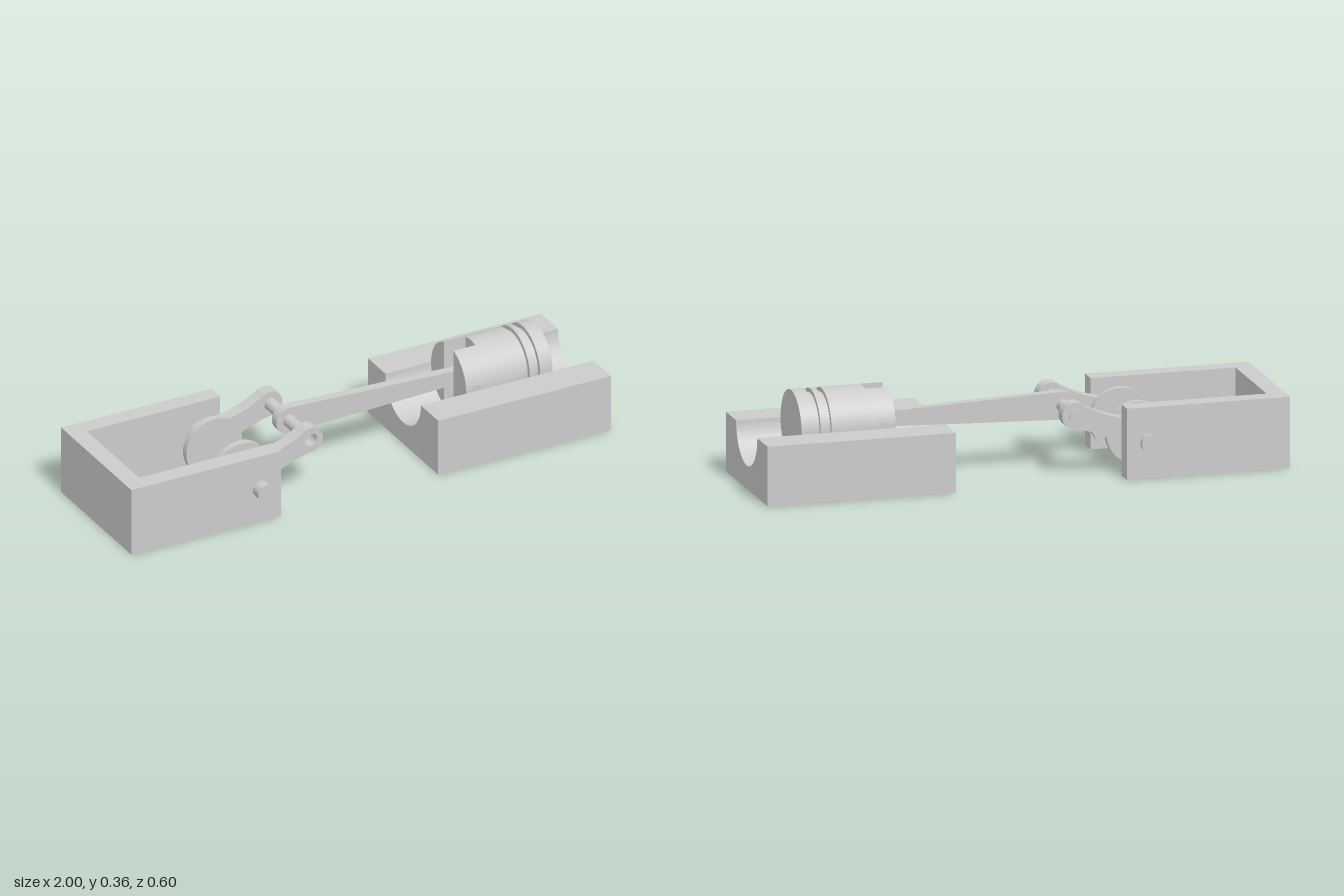
import * as THREE from 'three';
import { toCreasedNormals } from 'three/addons/utils/BufferGeometryUtils.js';

const grey = new THREE.MeshStandardMaterial({ color: 0xcccccc });
const MID = -0.011; // z of the mechanism's centre line
const SHAFT = { x: -0.46, y: 0.136 };
const CRANK_PIN = { x: -0.205, y: 0.232 };
const WRIST = { x: 0.515, y: 0.23 };
const BORE = { y: 0.226, r: 0.136 };

export function createModel() {
  const model = new THREE.Group();

  const add = (name, geometry) => {
    const mesh = new THREE.Mesh(geometry, grey);
    mesh.name = name;
    model.add(mesh);
    return mesh;
  };
  const box = (name, x0, x1, y0, y1, z0, z1) =>
    add(name, new THREE.BoxGeometry(x1 - x0, y1 - y0, z1 - z0))
      .position.set((x0 + x1) / 2, (y0 + y1) / 2, (z0 + z1) / 2);
  const extrude = (shape, depth) => toCreasedNormals(
    new THREE.ExtrudeGeometry(shape, { depth, bevelEnabled: false, curveSegments: 32 }), 0.5);
  // plate drawn in x/y, running from z0 to z1
  const plate = (name, shape, z0, z1) => add(name, extrude(shape, z1 - z0).translate(0, 0, z0));
  // profile drawn in z/y, running from x0 to x1
  const alongX = (name, shape, x0, x1) =>
    add(name, extrude(shape, x1 - x0).rotateY(Math.PI / 2).translate(x0, 0, MID));
  const pin = (name, at, r, z0, z1) =>
    add(name, new THREE.CylinderGeometry(r, r, z1 - z0, 40).rotateX(Math.PI / 2))
      .position.set(at.x, at.y, (z0 + z1) / 2);

  // U-shaped bearing bracket, open above and below
  const bracket = new THREE.Shape([
    [-1, -0.26], [-0.375, -0.26], [-0.375, -0.19], [-0.93, -0.19],
    [-0.93, 0.212], [-0.375, 0.212], [-0.375, 0.282], [-1, 0.282],
  ].map(([x, z]) => new THREE.Vector2(x, z)));
  add('bearingBracket', extrude(bracket, 0.27).rotateX(-Math.PI / 2));

  // waisted crank web with a hole for the crank pin
  const web = new THREE.Shape();
  const dir = Math.atan2(CRANK_PIN.y - SHAFT.y, CRANK_PIN.x - SHAFT.x);
  const span = Math.hypot(CRANK_PIN.y - SHAFT.y, CRANK_PIN.x - SHAFT.x);
  const local = (u, v) => [
    SHAFT.x + u * Math.cos(dir) - v * Math.sin(dir),
    SHAFT.y + u * Math.sin(dir) + v * Math.cos(dir),
  ];
  web.absarc(SHAFT.x, SHAFT.y, 0.07, dir + 1.2, dir - 1.2, false);
  web.quadraticCurveTo(...local(0.13, -0.025), ...local(span - 0.02, -0.046));
  web.absarc(CRANK_PIN.x, CRANK_PIN.y, 0.05, dir - 1.98, dir + 1.98, false);
  web.quadraticCurveTo(...local(0.13, 0.025), ...local(0.025, 0.065));
  web.holes.push(new THREE.Path().absarc(CRANK_PIN.x, CRANK_PIN.y, 0.025, 0, Math.PI * 2, true));
  plate('crankWebFront', web, 0.122, 0.176);
  plate('crankWebBack', web, -0.19, -0.138);

  // stub shafts and their discs
  pin('shaftFront', SHAFT, 0.033, 0.095, 0.302);
  pin('shaftBack', SHAFT, 0.033, -0.302, -0.11);
  pin('discFront', SHAFT, 0.117, 0.087, 0.113);
  pin('discBack', SHAFT, 0.117, -0.125, -0.099);
  pin('crankPin', CRANK_PIN, 0.0245, -0.195, 0.13);

  // tapered connecting rod
  const rod = new THREE.Shape();
  rod.absarc(CRANK_PIN.x, CRANK_PIN.y, 0.053, Math.PI / 2, Math.PI * 1.5, false);
  rod.absarc(WRIST.x, WRIST.y, 0.027, -Math.PI / 2, Math.PI / 2, false);
  plate('connectingRod', rod, MID - 0.018, MID + 0.018);

  // piston: grooved solid crown
  const r = BORE.r, g = 0.12;
  const profile = [
    [0, 0.56], [r, 0.56], [r, 0.715], [g, 0.715], [g, 0.735], [r, 0.735],
    [r, 0.757], [g, 0.757], [g, 0.778], [r, 0.778], [r, 0.83], [0, 0.83],
  ].map(([radius, x]) => new THREE.Vector2(radius, x));
  const crown = toCreasedNormals(new THREE.LatheGeometry(profile, 72).toNonIndexed(), 0.5);
  add('pistonCrown', crown.rotateZ(-Math.PI / 2).translate(0, BORE.y, MID));

  // piston: two skirt cheeks either side of the rod slot
  const cut = Math.acos(0.037 / r);
  for (const [name, turn] of [['pistonSkirtFront', Math.PI], ['pistonSkirtBack', 0]]) {
    const cheek = new THREE.Shape().absarc(0, BORE.y, r, turn - cut, turn + cut, false);
    alongX(name, cheek, 0.47, 0.56);
  }
  pin('wristPin', WRIST, 0.02, MID - 0.1365, MID + 0.1365);

  // cylinder block with a half-round trough
  const block = new THREE.Shape();
  block.moveTo(-0.271, 0);
  block.lineTo(0.271, 0);
  block.lineTo(0.271, BORE.y);
  block.lineTo(r + 0.001, BORE.y);
  block.absarc(0, BORE.y, r + 0.001, 0, -Math.PI, true);
  block.lineTo(-0.271, BORE.y);
  alongX('cylinderBlock', block, 0.28, 1);

  return model;
}
